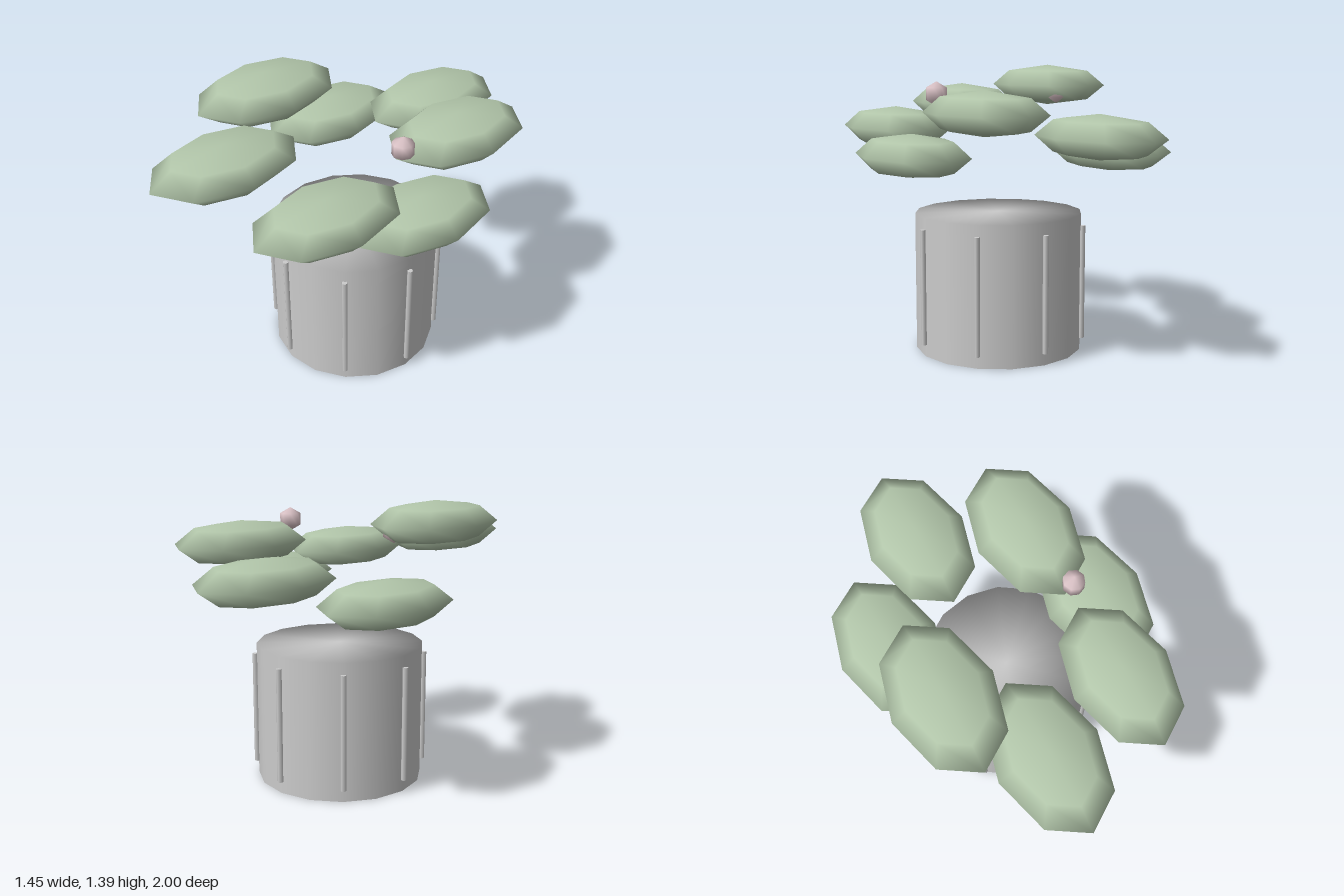
import * as THREE from 'three';

export function createModel() {
  const model = new THREE.Group();
  const grey = new THREE.MeshStandardMaterial({ color: 0xcccccc });
  const green = new THREE.MeshStandardMaterial({ color: 0xb2c6aa });
  const pink = new THREE.MeshStandardMaterial({ color: 0xdcc4c8 });
  const centreX = 0.0125;

  const add = (name, geometry, material, x, y, z) => {
    const mesh = new THREE.Mesh(geometry, material);
    mesh.name = name;
    mesh.position.set(x, y, z);
    model.add(mesh);
    return mesh;
  };

  // Pot: capped cylinder whose caps blend smoothly into the wall
  const radius = 0.413, height = 0.68;
  const potGeometry = new THREE.CylinderGeometry(radius, radius, height, 16);
  const { position, normal } = potGeometry.attributes;
  for (let i = 0; i < position.count; i++) {
    const x = position.getX(i), z = position.getZ(i);
    if (Math.hypot(x, z) > 0.1) normal.setXYZ(i, x / radius, 0, z / radius);
  }
  add('pot', potGeometry, grey, centreX, height / 2, 0);

  // Eight thin vertical ribs around the pot
  const ribGeometry = new THREE.CylinderGeometry(0.014, 0.014, 0.565, 6);
  for (let i = 0; i < 8; i++) {
    const a = (i * Math.PI) / 4;
    add('rib', ribGeometry, grey, centreX + 0.421 * Math.cos(a), 0.3425, 0.421 * Math.sin(a));
  }

  // Leaves: flattened low-poly ellipsoids, long along z
  const leafGeometry = new THREE.SphereGeometry(1, 8, 4).scale(0.242, 0.103, 0.375);
  [
    [-0.41, 1.292, 0.2],
    [-0.13, 1.19, 0.62],
    [0.31, 1.19, -0.37],
    [-0.13, 1.086, -0.625],
    [0.36, 1.086, 0.43],
    [0.485, 0.981, 0],
    [-0.485, 0.981, -0.24],
  ].forEach((p) => add('leaf', leafGeometry, green, ...p));

  // Flower buds, one on each side
  const budGeometry = new THREE.SphereGeometry(0.059, 8, 3);
  for (const side of [-1, 1]) {
    add('bud', budGeometry, pink, centreX + side * 0.34, 1.265, 0);
  }
  return model;
}
